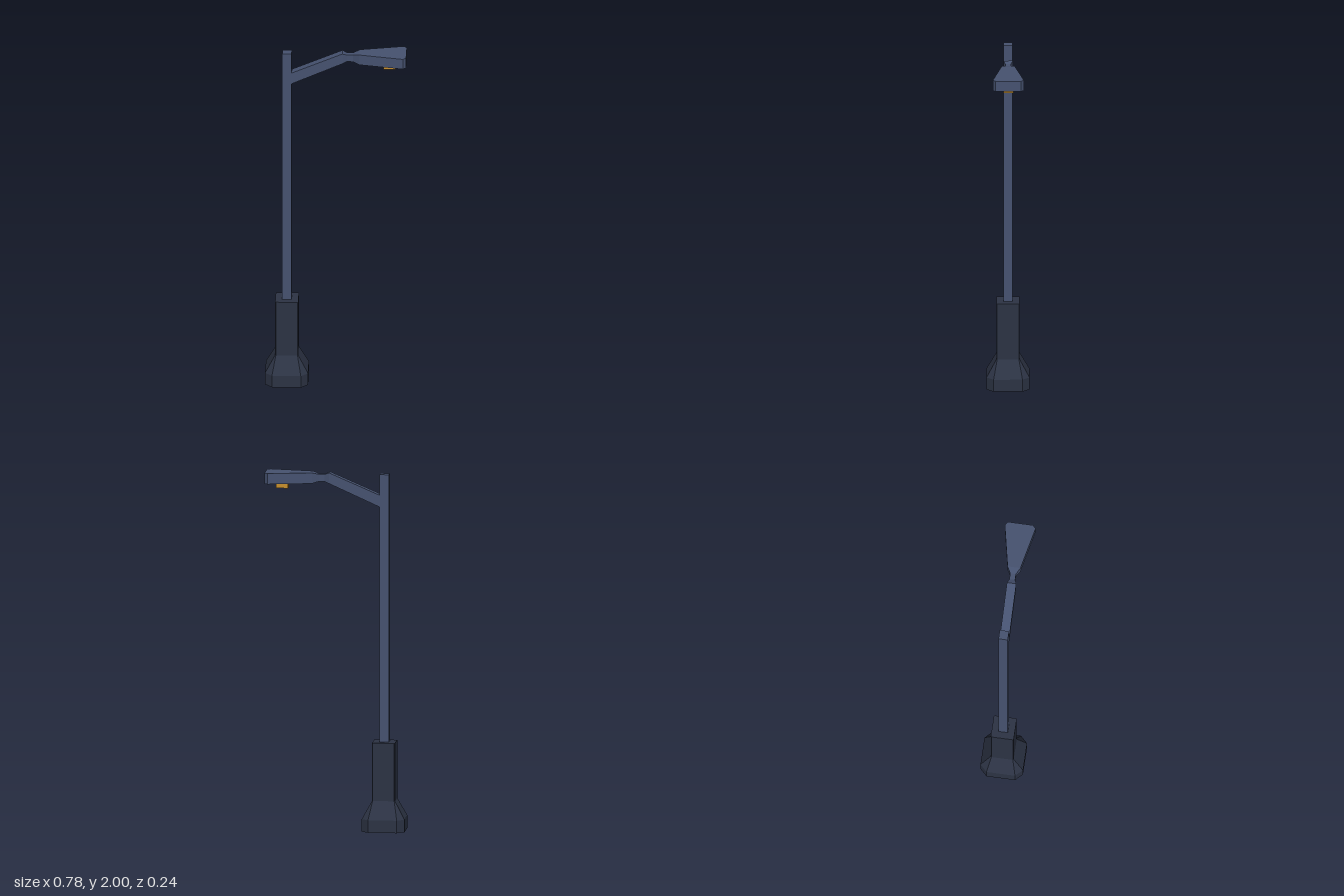
import * as THREE from 'three';

const paint = new THREE.MeshStandardMaterial({ color: 0x465270, flatShading: true });
const dark = new THREE.MeshStandardMaterial({ color: 0x2c3344, flatShading: true });
const amber = new THREE.MeshStandardMaterial({ color: 0xc8902f, flatShading: true });

// Skin between rings of points (counter-clockwise seen from the far end), with optional caps.
function loft(rings, capStart = true, capEnd = true) {
  const pos = [];
  const tri = (...pts) => pts.forEach((p) => pos.push(...p));
  const n = rings[0].length;
  for (let i = 0; i < rings.length - 1; i++) {
    for (let j = 0; j < n; j++) {
      const k = (j + 1) % n;
      const [a, b, c, d] = [rings[i][j], rings[i][k], rings[i + 1][k], rings[i + 1][j]];
      tri(a, b, c);
      tri(a, c, d);
    }
  }
  const first = rings[0], last = rings[rings.length - 1];
  for (let j = 1; j < n - 1; j++) {
    if (capStart) tri(first[0], first[j + 1], first[j]);
    if (capEnd) tri(last[0], last[j], last[j + 1]);
  }
  const geometry = new THREE.BufferGeometry();
  geometry.setAttribute('position', new THREE.Float32BufferAttribute(pos, 3));
  geometry.computeVertexNormals();
  return geometry;
}

// Horizontal square of half-size h with corners cut by c.
const cutSquare = ([y, h, c]) => [
  [h, y, h - c], [h, y, c - h], [h - c, y, -h], [c - h, y, -h],
  [-h, y, c - h], [-h, y, h - c], [c - h, y, h], [h - c, y, h],
];

// Upright rectangle across the arm at x, from lo to hi, half-width w.
const crossSection = ([x, lo, hi, w]) => [[x, lo, w], [x, lo, -w], [x, hi, -w], [x, hi, w]];

export function createModel() {
  const model = new THREE.Group();
  const add = (name, geometry, material, x = 0, y = 0, z = 0) => {
    const mesh = new THREE.Mesh(geometry, material);
    mesh.name = name;
    mesh.position.set(x, y, z);
    model.add(mesh);
  };
  const poleX = -0.272;

  // Flared footing with chamfered corners
  const base = [[0, 0.119, 0.039], [0.07, 0.119, 0.039], [0.17, 0.064, 0.004], [0.495, 0.064, 0.004]];
  add('base', loft(base.map(cutSquare)), dark, poleX);

  // Square pole
  add('pole', new THREE.BoxGeometry(0.052, 1.505, 0.052), paint, poleX, 1.2425);

  // Rising arm, pinched into a neck
  const arm = [[-0.25, 1.812, 1.878, 0.026], [0.035, 1.94, 2, 0.026], [0.06, 1.949, 1.99, 0.016], [0.095, 1.949, 1.99, 0.016]];
  add('arm', loft(arm.map(crossSection), true, false), paint);

  // Fan-shaped lamp head
  const head = [[0.095, 1.949, 1.99, 0.016], [0.13, 1.94, 2, 0.036], [0.372, 1.94, 2, 0.086], [0.39, 1.94, 2, 0.07]];
  add('lampHead', loft(head.map(crossSection), false, true), paint);

  // Bulb block under the head
  add('bulb', new THREE.BoxGeometry(0.066, 0.035, 0.056), amber, 0.296, 1.9275);

  return model;
}
